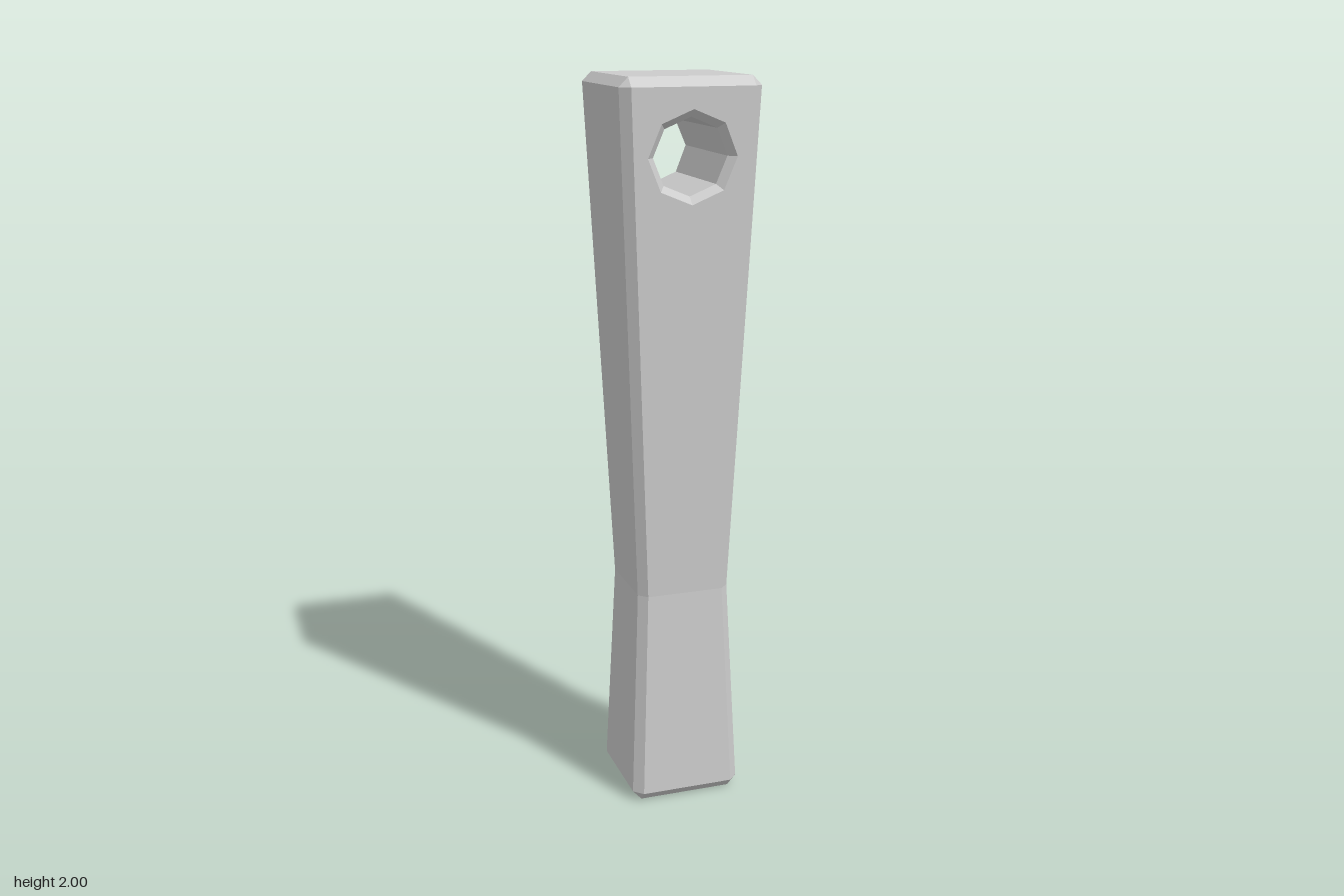
import * as THREE from 'three';

const material = new THREE.MeshStandardMaterial({ color: 0xcccccc, flatShading: true });

// Cross-sections of the post: [height, half width, half width of the flat between chamfers]
const SECTIONS = [
  [0, 0.13, 0.13],
  [0.027, 0.155, 0.13],
  [0.61, 0.13, 0.107],
  [1.975, 0.19, 0.165],
  [2, 0.165, 0.165],
];
const HOLE = { y: 1.8, rim: 0.12, bore: 0.1, bevel: 0.022, sides: 8 };

// Half depth of the tapering upper face at height y
const faceZ = (y) => {
  const [[y0, h0], [y1, h1]] = [SECTIONS[2], SECTIONS[3]];
  return h0 + ((h1 - h0) * (y - y0)) / (y1 - y0);
};

// Collects quads, dropping triangles that have collapsed to a line
function quadBuilder() {
  const pos = [];
  const tri = (a, b, c) => {
    if (new THREE.Triangle(a, b, c).getArea() > 1e-8) for (const p of [a, b, c]) pos.push(p.x, p.y, p.z);
  };
  return {
    quad(a, b, c, d) { tri(a, b, c); tri(a, c, d); },
    mesh(name) {
      const g = new THREE.BufferGeometry();
      g.setAttribute('position', new THREE.Float32BufferAttribute(pos, 3));
      return namedMesh(g, name);
    },
  };
}

function namedMesh(geometry, name) {
  geometry.computeVertexNormals();
  const mesh = new THREE.Mesh(geometry, material);
  mesh.name = name;
  return mesh;
}

// Chamfered square ring at one height
const ring = ([y, h, i]) =>
  [[h, -i], [h, i], [i, h], [-i, h], [-h, i], [-h, -i], [-i, -h], [i, -h]]
    .map(([x, z]) => new THREE.Vector3(x, y, z));

// Post shell, leaving the upper front and back open for the pierced faces
function makePost() {
  const b = quadBuilder();
  const rings = SECTIONS.map(ring);
  for (let s = 0; s < rings.length - 1; s++) {
    for (let k = 0; k < 8; k++) {
      if (s === 2 && (k === 2 || k === 6)) continue;
      const n = (k + 1) % 8;
      b.quad(rings[s][k], rings[s + 1][k], rings[s + 1][n], rings[s][n]);
    }
  }
  const corners = (r) => [r[0], r[1], r[3], r[5]];
  b.quad(...corners(rings[0]));
  b.quad(...corners(rings[4]).reverse());
  return b.mesh('post');
}

// Octagon with its corners on the axes
const octagon = (r) => Array.from({ length: HOLE.sides }, (_, k) => {
  const a = (k / HOLE.sides) * Math.PI * 2;
  return new THREE.Vector2(r * Math.cos(a), HOLE.y + r * Math.sin(a));
});

// Upper face with the hole cut out, leaned onto the taper
function makePiercedFace(name) {
  const [[y0, , i0], [y1, , i1]] = [SECTIONS[2], SECTIONS[3]];
  const shape = new THREE.Shape([[-i0, y0], [i0, y0], [i1, y1], [-i1, y1]].map((p) => new THREE.Vector2(...p)));
  shape.holes.push(new THREE.Path(octagon(HOLE.rim).reverse()));
  const g = new THREE.ShapeGeometry(shape);
  const p = g.attributes.position;
  for (let i = 0; i < p.count; i++) p.setZ(i, faceZ(p.getY(i)));
  return namedMesh(g, name);
}

// Bevelled bore running from front to back
function makeBore() {
  const b = quadBuilder();
  const loop = (r, inset, side) =>
    octagon(r).map((p) => new THREE.Vector3(p.x, p.y, side * (faceZ(p.y) - inset)));
  const loops = [
    loop(HOLE.rim, 0, 1), loop(HOLE.bore, HOLE.bevel, 1),
    loop(HOLE.bore, HOLE.bevel, -1), loop(HOLE.rim, 0, -1),
  ];
  for (let j = 0; j < 3; j++) {
    for (let k = 0; k < HOLE.sides; k++) {
      const n = (k + 1) % HOLE.sides;
      b.quad(loops[j][k], loops[j][n], loops[j + 1][n], loops[j + 1][k]);
    }
  }
  return b.mesh('holeBore');
}

export function createModel() {
  const group = new THREE.Group();
  group.name = 'taperedPost';
  const back = makePiercedFace('backFace');
  back.rotation.y = Math.PI;
  group.add(makePost(), makePiercedFace('frontFace'), back, makeBore());
  return group;
}
